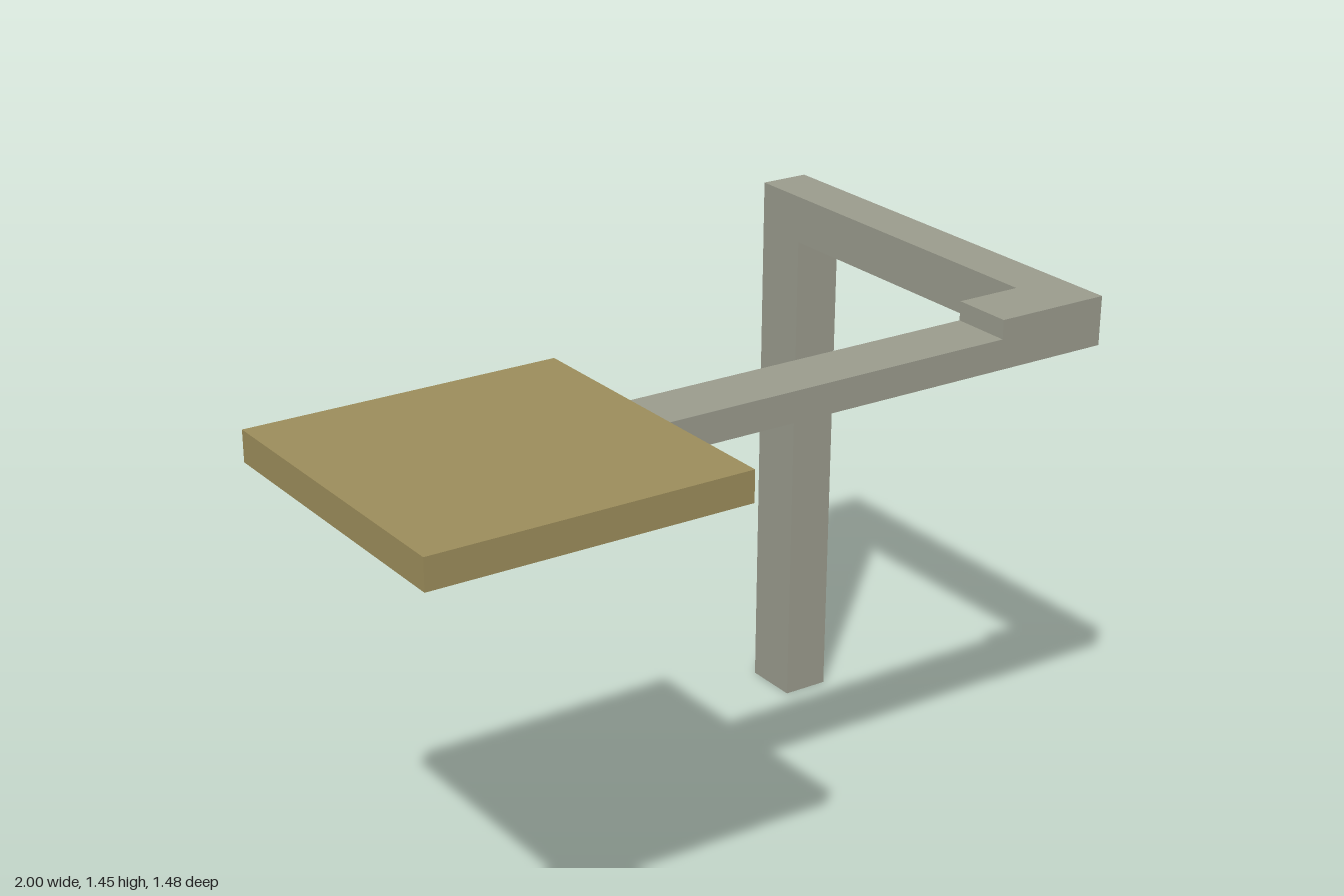
import * as THREE from 'three';

export function createModel() {
  const model = new THREE.Group();
  const metal = new THREE.MeshStandardMaterial({ color: 0x9a9b8d });
  metal.name = 'grey metal';
  const wood = new THREE.MeshStandardMaterial({ color: 0x9c8d5b });
  wood.name = 'tan panel';

  // Box given by its lower and upper corners
  function addBox(name, material, [x0, y0, z0], [x1, y1, z1]) {
    const mesh = new THREE.Mesh(new THREE.BoxGeometry(x1 - x0, y1 - y0, z1 - z0), material);
    mesh.position.set((x0 + x1) / 2, (y0 + y1) / 2, (z0 + z1) / 2);
    mesh.name = name;
    model.add(mesh);
  }

  const under = 1.33; // shared underside of everything the post carries
  const top = 1.452;

  // Upright post and the beam reaching forward from it
  addBox('post', metal, [0.87, 0, -0.74], [0.998, under, -0.585]);
  addBox('beam', metal, [0.87, under, -0.74], [1, top, 0.275]);

  // Corner joint and the thinner side arm
  addBox('cornerJoint', metal, [0.7, under, 0.275], [1, top, 0.43]);
  addBox('sideArm', metal, [-0.222, under, 0.275], [0.7, 1.405, 0.43]);

  // Square tray at the end of the arm
  addBox('tray', wood, [-1, under, -0.038], [-0.222, 1.405, 0.74]);

  return model;
}
